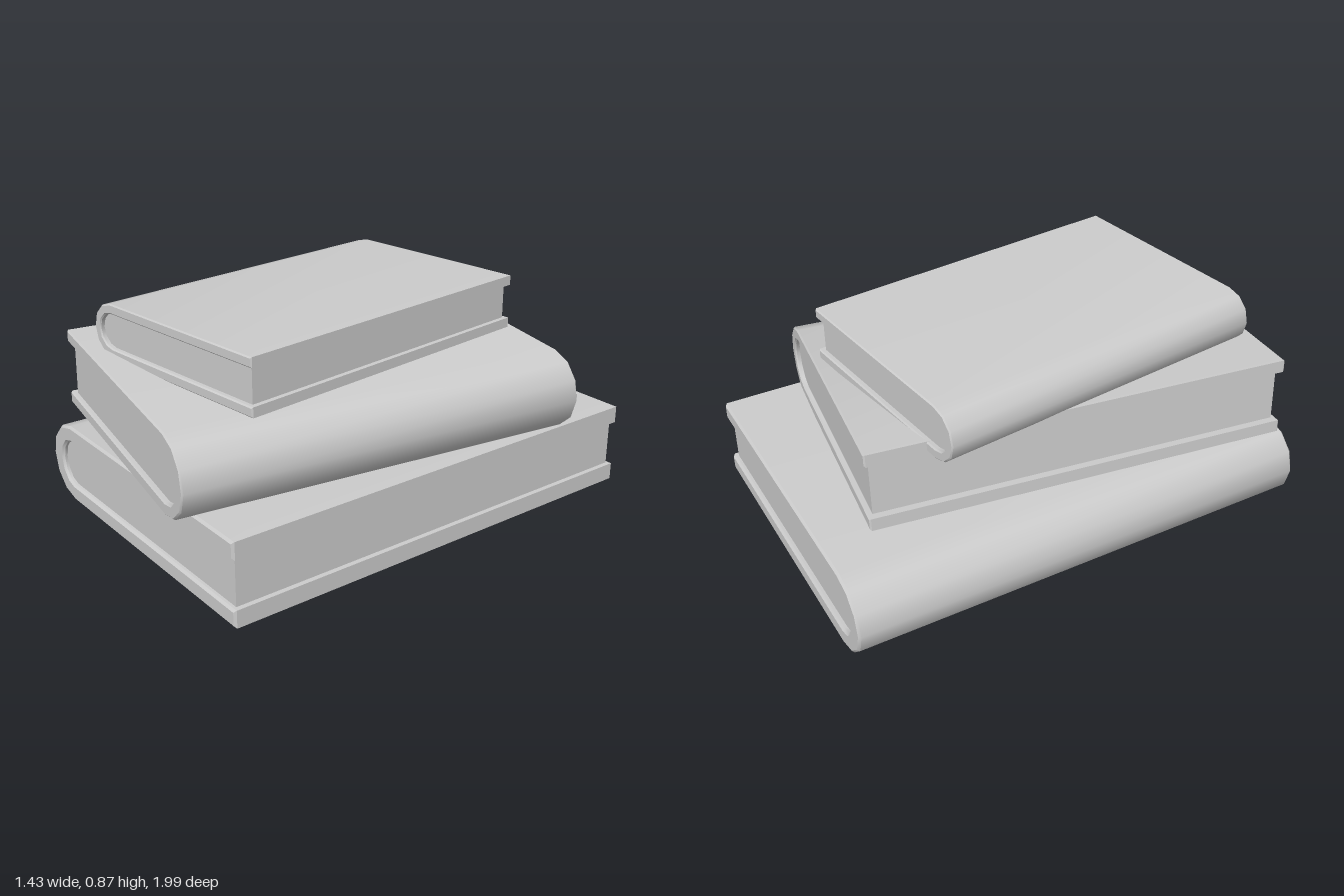
import * as THREE from 'three';
import { toCreasedNormals } from 'three/addons/utils/BufferGeometryUtils.js';

const material = new THREE.MeshStandardMaterial({ color: 0xcccccc });

// Half-round arc from top to bottom, bulging towards -x
function spineArc(cx, radiusX, radiusY, segments = 6) {
  return Array.from({ length: segments + 1 }, (_, i) => {
    const a = Math.PI / 2 + (i / segments) * Math.PI;
    return new THREE.Vector2(cx + Math.cos(a) * radiusX, Math.sin(a) * radiusY);
  });
}

function extrude(points, length, bevel, name) {
  const geometry = new THREE.ExtrudeGeometry(new THREE.Shape(points), {
    depth: length - 2 * bevel,
    bevelEnabled: bevel > 0,
    bevelThickness: bevel,
    bevelSize: bevel,
    bevelOffset: -bevel,
    bevelSegments: 1,
  });
  geometry.translate(0, 0, bevel - length / 2);
  const mesh = new THREE.Mesh(toCreasedNormals(geometry, 0.7), material);
  mesh.name = name;
  return mesh;
}

// Closed book lying flat, centred on its origin, spine towards -x
function makeBook({ name, width, height, length, board, spine, inset, bevel }) {
  const book = new THREE.Group();
  book.name = name;
  const v = (x, y) => new THREE.Vector2(x, y);
  const w = width / 2, r = height / 2, inner = r - board;
  const cx = -w + r;

  // U-shaped cover wrapped around the spine
  const cover = [
    v(w, r), ...spineArc(cx, r, r), v(w, -r),
    v(w, -inner), ...spineArc(cx, r - spine, inner).reverse(), v(w, inner),
  ];
  book.add(extrude(cover, length, bevel, 'cover'));

  // Page block, set back from the three open edges
  const o = 0.003;
  const pages = [
    v(w - inset, inner + o), ...spineArc(cx, r - spine + o, inner + o), v(w - inset, -inner - o),
  ];
  book.add(extrude(pages, length - 0.04, 0, 'pages'));
  return book;
}

export function createModel() {
  const stack = new THREE.Group();
  stack.name = 'bookStack';

  const bottom = makeBook({
    name: 'bottomBook', width: 1.36, height: 0.33, length: 1.91,
    board: 0.07, spine: 0.08, inset: 0.02, bevel: 0.009,
  });
  bottom.position.set(-0.04, 0.165, -0.045);

  // Spine turned to +x, tilted down towards the spine
  const middle = new THREE.Group();
  middle.name = 'middleBookPlacement';
  const middleBook = makeBook({
    name: 'middleBook', width: 1.17, height: 0.318, length: 1.67,
    board: 0.05, spine: 0.052, inset: 0.03, bevel: 0.006,
  });
  middleBook.rotation.y = Math.PI;
  middle.add(middleBook);
  middle.position.set(0.014, 0.497, 0.085);
  middle.rotation.set(0, -0.141, -0.06);

  const top = makeBook({
    name: 'topBook', width: 0.925, height: 0.22, length: 1.394,
    board: 0.04, spine: 0.035, inset: 0.02, bevel: 0.005,
  });
  top.position.set(-0.089, 0.76, 0.058);
  top.rotation.y = 0.119;

  stack.add(bottom, middle, top);
  return stack;
}
